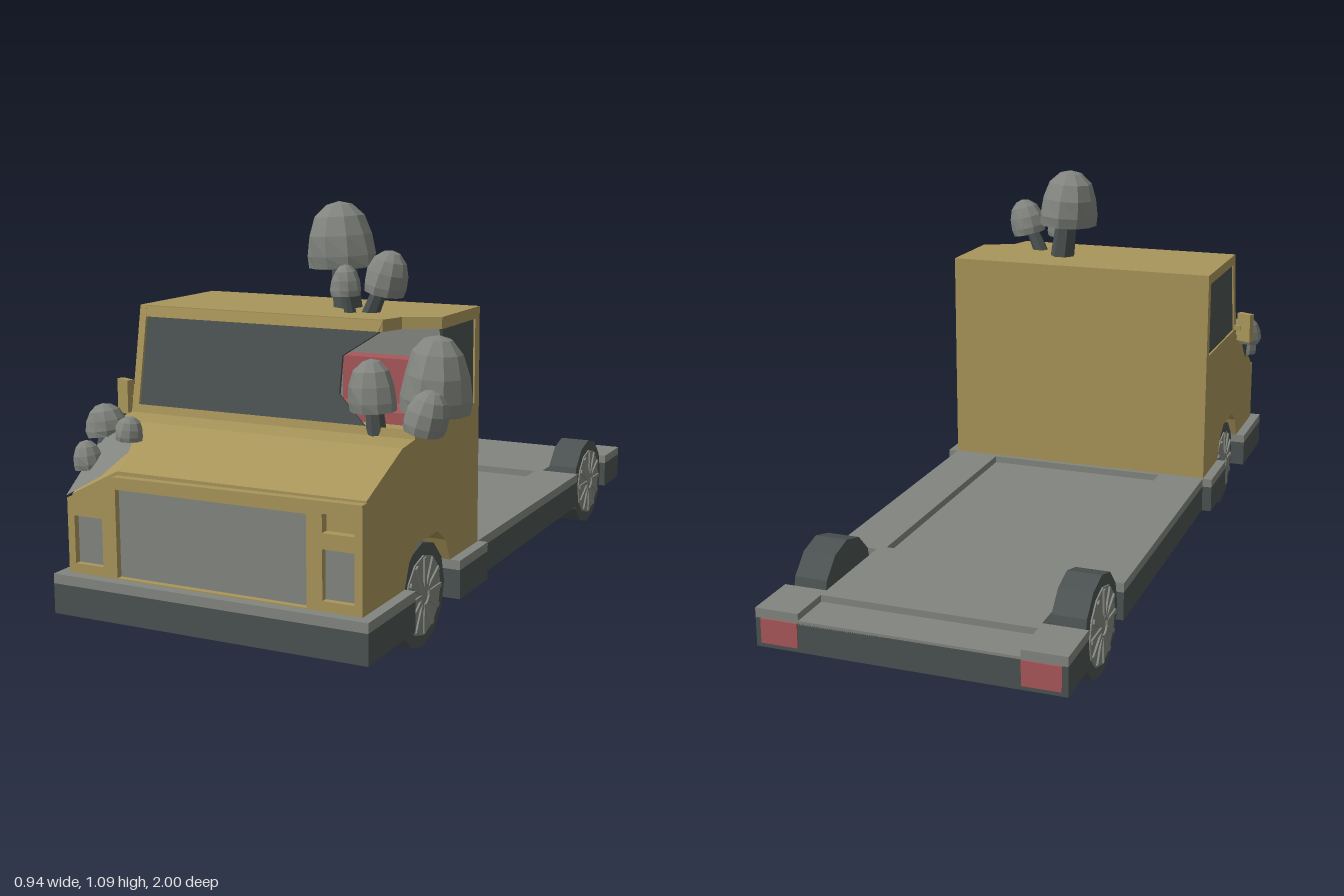
import * as THREE from 'three';

const material = (name, color) => {
  const m = new THREE.MeshStandardMaterial({ color });
  m.name = name;
  return m;
};

export function createModel() {
  const mustard = material('mustard paint', 0xa8955a);
  const grey = material('grey', 0x82857f);
  const dark = material('dark slate', 0x4b5251);
  const red = material('red', 0xa8575b);

  const root = new THREE.Group();
  root.name = 'overgrownTruck';
  const truck = new THREE.Group();
  truck.name = 'truck';
  truck.position.x = -0.005;
  root.add(truck);

  const add = (name, geometry, mat, parent = truck) => {
    const mesh = new THREE.Mesh(geometry, mat);
    mesh.name = name;
    parent.add(mesh);
    return mesh;
  };
  // Box given by its limits
  const box = (name, mat, x0, x1, y0, y1, z0, z1, parent) => {
    const mesh = add(name, new THREE.BoxGeometry(x1 - x0, y1 - y0, z1 - z0), mat, parent);
    mesh.position.set((x0 + x1) / 2, (y0 + y1) / 2, (z0 + z1) / 2);
    return mesh;
  };
  const toShape = (pts, holes = []) => {
    const shape = new THREE.Shape(pts.map(p => new THREE.Vector2(...p)));
    for (const h of holes) shape.holes.push(new THREE.Path(h.map(p => new THREE.Vector2(...p))));
    return shape;
  };
  const extrude = (pts, depth, holes) =>
    new THREE.ExtrudeGeometry(toShape(pts, holes), { depth, bevelEnabled: false });
  const rect = (x0, x1, y0, y1) => [[x0, y0], [x1, y0], [x1, y1], [x0, y1]];
  // Profile in (z, y), extruded across x0..x1
  const across = (pts, x0, x1, holes) =>
    extrude(pts, x1 - x0, holes).rotateY(-Math.PI / 2).translate(x1, 0, 0);
  // Plan in (x, z), extruded down from y1 to y0
  const plan = (pts, y0, y1, holes) =>
    extrude(pts, y1 - y0, holes).rotateX(Math.PI / 2).translate(0, y1, 0);

  // Chassis: dark lower slab, grey deck with a sunken bed and a low tail strip
  const edge = [[0.405, -1], [0.405, -0.85], [0.288, -0.85], [0.288, -0.56], [0.405, -0.56],
    [0.405, 0.28], [0.433, 0.28], [0.433, 0.47], [0.288, 0.47], [0.288, 0.745], [0.433, 0.745], [0.433, 1]];
  const mirrored = pts => [...pts, ...pts.map(([x, z]) => [-x, z]).reverse()];
  add('chassis', plan(mirrored(edge), 0.088, 0.165), dark);
  add('deck', plan(mirrored([[0.288, -0.88], [0.288, -1], ...edge]), 0.165, 0.19,
    [rect(-0.268, 0.268, -0.54, 0.27)]), grey);
  box('bedFloor', grey, -0.268, 0.268, 0.162, 0.17, -0.54, 0.27);
  box('tailStrip', grey, -0.288, 0.288, 0.162, 0.172, -1, -0.88);

  // Wheels, axles and tail lights
  const wheel = (x, z, side) => {
    const g = new THREE.Group();
    g.name = 'wheel';
    g.position.set(x, 0.135, z);
    g.rotation.z = -side * Math.PI / 2;
    truck.add(g);
    const cyl = (r, h) => new THREE.CylinderGeometry(r, r, h, 12).toNonIndexed();
    const tyre = cyl(0.135, 0.09), hub = cyl(0.103, 0.008);
    tyre.computeVertexNormals();
    hub.computeVertexNormals();
    add('tyre', tyre, dark, g);
    add('hub', hub, grey, g).position.y = 0.045;
    for (let i = 0; i < 12; i++) {
      const a = i * Math.PI / 6;
      const spoke = add('spoke', new THREE.BoxGeometry(0.075, 0.008, 0.012), grey, g);
      spoke.position.set(Math.cos(a) * 0.06, 0.05, -Math.sin(a) * 0.06);
      spoke.rotation.y = a;
    }
  };
  for (const side of [-1, 1]) {
    for (const z of [-0.705, 0.61]) wheel(side * 0.346, z, side);
    const a = side * 0.34;
    box('tailLight', red, a - 0.05, a + 0.05, 0.1, 0.165, -1.004, -0.998);
  }
  for (const z of [-0.705, 0.61]) {
    const axle = add('axle', new THREE.CylinderGeometry(0.04, 0.04, 0.62, 10).rotateZ(Math.PI / 2), dark);
    axle.position.set(0, 0.135, z);
  }
  box('frontWheelWell', mustard, -0.291, 0.291, 0.1, 0.284, 0.472, 0.743);

  // Lower cab with wheel arches; its right front corner is crushed
  const lower = [[0.29, 0.19], [0.47, 0.19], [0.5, 0.25], [0.55, 0.285], [0.67, 0.285], [0.72, 0.25],
    [0.745, 0.19], [0.95, 0.19], [0.95, 0.455], [0.76, 0.537], [0.69, 0.545], [0.29, 0.545]];
  add('lowerCab', across(lower, -0.27, 0.405), mustard);
  let corner = across(lower, -0.405, -0.27);
  const p = corner.attributes.position;
  for (let i = 0; i < p.count; i++)
    if (p.getX(i) < -0.3 && p.getZ(i) > 0.9 && p.getY(i) > 0.4) p.setY(i, 0.385);
  corner = corner.toNonIndexed();
  corner.computeVertexNormals();
  add('crushedCorner', corner, mustard);

  // Bare metal on the crushed corner
  const bare = new THREE.BufferGeometry();
  bare.setAttribute('position', new THREE.Float32BufferAttribute([
    -0.407, 0.535, 0.775, -0.407, 0.385, 0.973, -0.3, 0.445, 0.973,
    -0.407, 0.535, 0.775, -0.3, 0.445, 0.973, -0.268, 0.495, 0.9,
    -0.407, 0.535, 0.775, -0.268, 0.495, 0.9, -0.32, 0.538, 0.785], 3));
  bare.computeVertexNormals();
  add('bareMetal', bare, grey);

  // Front panel with recessed grille and lamps
  add('frontPanel', extrude(
    [[-0.405, 0.19], [0.405, 0.19], [0.405, 0.45], [-0.27, 0.445], [-0.405, 0.38]], 0.022,
    [rect(-0.262, 0.262, 0.193, 0.415), rect(0.303, 0.385, 0.215, 0.337),
      rect(-0.385, -0.303, 0.215, 0.337), rect(0.303, 0.385, 0.375, 0.42)]).translate(0, 0, 0.95), mustard);
  box('grille', grey, -0.262, 0.262, 0.193, 0.415, 0.948, 0.956);
  for (const s of [-1, 1]) box('headlight', grey, s * 0.344 - 0.041, s * 0.344 + 0.041, 0.215, 0.337, 0.948, 0.956);

  // Upper cab: back wall, lining, and roof with a broken front left corner
  box('backWall', mustard, -0.405, 0.405, 0.19, 0.82, 0.285, 0.305);
  box('cabLining', grey, -0.385, 0.385, 0.545, 0.79, 0.305, 0.311);
  add('roof', plan([[-0.405, 0.29], [0.405, 0.29], [0.405, 0.53], [0.315, 0.57], [0.295, 0.637],
    [-0.405, 0.637]], 0.79, 0.82), mustard);

  // Side frames and windows, whole on the right and broken on the left
  add('rightSideFrame', across([[0.29, 0.54], [0.69, 0.54], [0.637, 0.82], [0.29, 0.82]], -0.405, -0.385,
    [[[0.315, 0.57], [0.655, 0.57], [0.617, 0.795], [0.315, 0.795]]]), mustard);
  add('rightSideWindow', across([[0.315, 0.57], [0.655, 0.57], [0.617, 0.795], [0.315, 0.795]], -0.4, -0.392), dark);
  add('leftSideFrame', across([[0.29, 0.54], [0.69, 0.54], [0.685, 0.57], [0.315, 0.57], [0.315, 0.795],
    [0.52, 0.795], [0.53, 0.82], [0.29, 0.82]], 0.385, 0.405), mustard);
  add('leftSideWindow', across([[0.315, 0.57], [0.52, 0.57], [0.48, 0.68], [0.52, 0.795], [0.315, 0.795]],
    0.392, 0.4), dark);

  // Sloping windscreen with a smashed left side
  const screen = new THREE.Group();
  screen.name = 'windscreen';
  screen.position.set(0, 0.542, 0.69);
  screen.rotation.x = -0.19;
  truck.add(screen);
  add('windscreenFrame', extrude([[-0.405, 0], [0.405, 0], [0.405, 0.024], [-0.385, 0.024], [-0.385, 0.253],
    [0.285, 0.253], [0.297, 0.283], [-0.405, 0.283]], 0.02).translate(0, 0, -0.02), mustard, screen);
  add('windscreenGlass', extrude([[-0.385, 0.024], [0.265, 0.024], [0.19, 0.095], [0.19, 0.19], [0.285, 0.253],
    [-0.385, 0.253]], 0.008).translate(0, 0, -0.016), dark, screen);

  // Seats and the one remaining mirror
  for (const s of [-1, 1]) {
    box('seatBack', red, s * 0.2 - 0.12, s * 0.2 + 0.12, 0.545, 0.69, 0.37, 0.43);
    box('seatCushion', red, s * 0.2 - 0.12, s * 0.2 + 0.12, 0.545, 0.575, 0.43, 0.55);
  }
  const mirror = box('mirror', mustard, -0.464, -0.415, 0.535, 0.625, 0.655, 0.675);
  mirror.rotation.y = -0.4;
  box('mirrorArm', mustard, -0.425, -0.395, 0.57, 0.585, 0.655, 0.67);

  // Faceted mushrooms: uneven cap on a leaning stem
  const capProfile = [[0, 0.1], [0.7, 0], [0.95, 0.02], [1, 0.2], [0.93, 0.5], [0.72, 0.78], [0.38, 0.95], [0, 1]];
  const mushroom = (x, y, z, r, h, foot, tilt, seed) => {
    const g = new THREE.Group();
    g.name = 'mushroom';
    root.add(g);
    let cap = new THREE.LatheGeometry(capProfile.map(q => new THREE.Vector2(...q)), 10);
    const v = cap.attributes.position;
    for (let i = 0; i < v.count; i++) {
      const a = v.getX(i), b = v.getY(i), c = v.getZ(i);
      const k = 1 + 0.05 * Math.sin(3 * a + 4 * b + seed) + 0.04 * Math.sin(5 * c - 3 * b + seed * 2);
      v.setXYZ(i, a * k * r, b * h, c * k * r);
    }
    cap = cap.toNonIndexed();
    cap.computeVertexNormals();
    const capMesh = add('mushroomCap', cap, grey, g);
    capMesh.position.set(x, y, z);
    capMesh.rotation.z = tilt;
    // Stem runs from the foot to inside the cap
    const a = new THREE.Vector3(...foot), b = new THREE.Vector3(x, y + h * 0.25, z);
    const stemGeo = new THREE.CylinderGeometry(r * 0.34, r * 0.42, a.distanceTo(b), 7).toNonIndexed();
    stemGeo.computeVertexNormals();
    const stem = add('mushroomStem', stemGeo, dark, g);
    stem.position.copy(a).add(b).multiplyScalar(0.5);
    stem.quaternion.setFromUnitVectors(new THREE.Vector3(0, 1, 0), b.sub(a).normalize());
  };
  [
    [0.08, 0.918, 0.435, 0.092, 0.172, [0.1, 0.81, 0.445], 0.06],
    [0.235, 0.868, 0.52, 0.055, 0.112, [0.195, 0.81, 0.515], -0.25],
    [0.148, 0.86, 0.55, 0.038, 0.08, [0.155, 0.81, 0.54], 0.05],
    [0.375, 0.578, 0.525, 0.09, 0.197, [0.35, 0.54, 0.52], -0.08],
    [0.284, 0.6, 0.675, 0.062, 0.13, [0.29, 0.54, 0.67], 0.05],
    [0.405, 0.556, 0.655, 0.054, 0.108, [0.37, 0.53, 0.64], -0.25],
    [-0.412, 0.502, 0.795, 0.053, 0.083, [-0.39, 0.44, 0.85], 0.15],
    [-0.398, 0.437, 0.895, 0.038, 0.073, [-0.37, 0.4, 0.89], 0.12],
    [-0.315, 0.508, 0.84, 0.037, 0.06, [-0.33, 0.46, 0.86], -0.1],
  ].forEach((m, i) => mushroom(...m, i * 1.7));

  return root;
}
